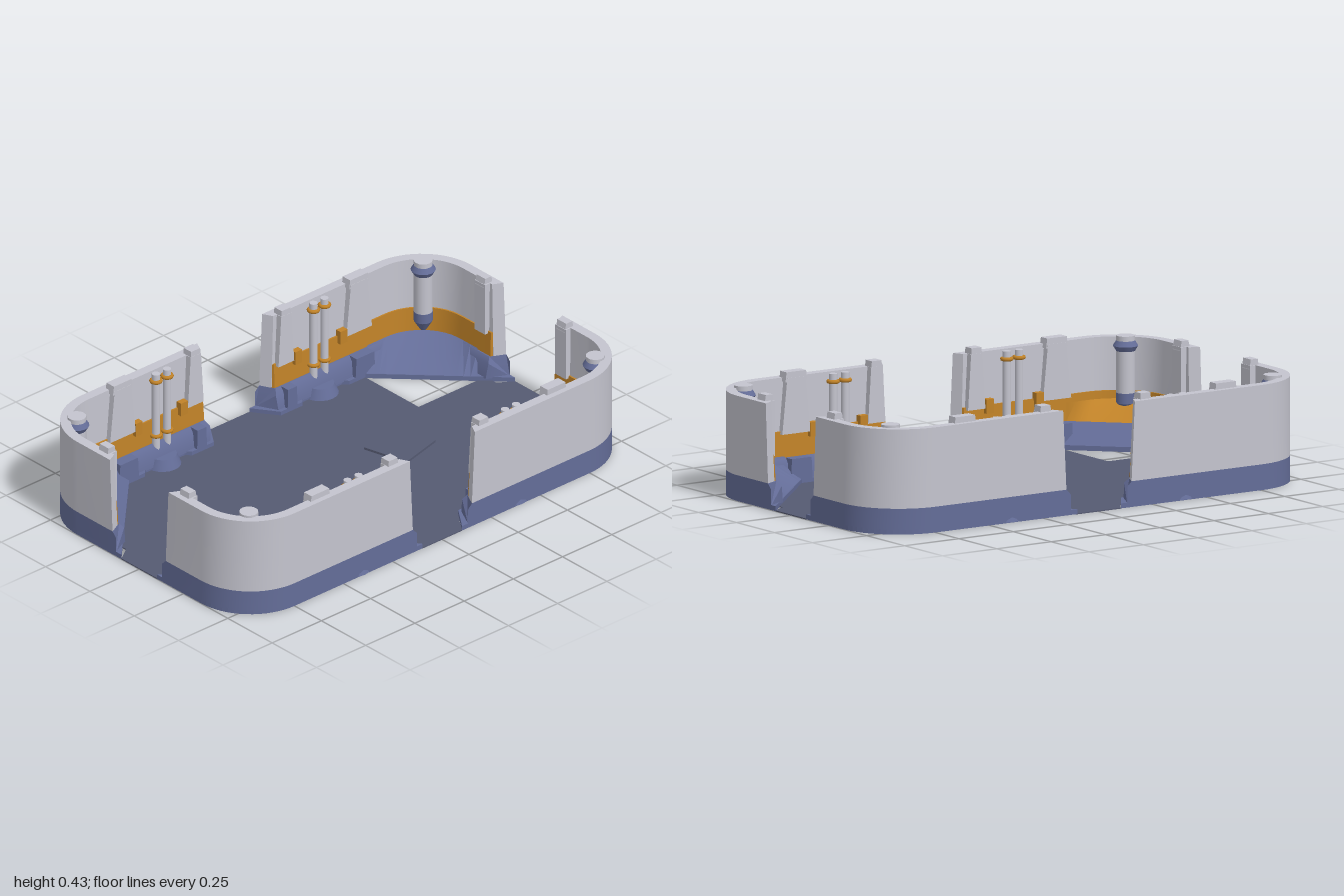
import * as THREE from 'three';
import { toCreasedNormals } from 'three/addons/utils/BufferGeometryUtils.js';

const material = (name, color, side = THREE.FrontSide) => {
  const m = new THREE.MeshStandardMaterial({ color, side });
  m.name = name;
  return m;
};

const CX = 0.75, CZ = 0.35, R = 0.25, ARC = 16;

// Plan point on the corner arc, inset by d, t from 0 (front) to 1 (side)
function arcPoint(d, t) {
  const a = Math.PI / 2 * (1 - t);
  return [CX + (R - d) * Math.cos(a), CZ + (R - d) * Math.sin(a)];
}

// Wall path of one quarter, inset by d, from the front gap to the side gap
function wallPath(d, end, flare) {
  const e = end + flare * d, path = [[e, 0.6 - d]];
  for (let i = 0; i <= ARC; i++) path.push(arcPoint(d, i / ARC));
  path.push([1 - d, e]);
  return path;
}

function fromTriangles(triangles, crease = 0.5) {
  const g = new THREE.BufferGeometry();
  g.setAttribute('position', new THREE.Float32BufferAttribute(triangles.flat(2), 3));
  return toCreasedNormals(g, crease);
}

// Sweep a closed profile of [inset, height, gapEnd] along the quarter wall
function sweep(profile, flare = 0.5) {
  const rows = profile.map(([d, y, end]) => wallPath(d, end, flare).map(([x, z]) => [x, y, z]));
  const tris = [], n = rows.length, last = rows[0].length - 1;
  for (let j = 0; j < n; j++) {
    const a = rows[j], b = rows[(j + 1) % n];
    for (let i = 0; i < last; i++) tris.push([a[i], a[i + 1], b[i]], [a[i + 1], b[i + 1], b[i]]);
  }
  for (let j = 1; j < n - 1; j++) {
    tris.push([rows[0][0], rows[j][0], rows[j + 1][0]]);
    tris.push([rows[0][last], rows[j + 1][last], rows[j][last]]);
  }
  return fromTriangles(tris);
}

// Ruled sheet between two point functions
function sheet(pa, pb) {
  const tris = [];
  for (let i = 0; i < ARC; i++) {
    const t = i / ARC, u = (i + 1) / ARC;
    tris.push([pa(t), pb(t), pa(u)], [pa(u), pb(t), pb(u)]);
  }
  return fromTriangles(tris);
}
const line = (a, b) => t => a.map((v, i) => v + (b[i] - v) * t);

// Flat plate from a plan outline in x and z
function plate(points, bottom, top) {
  const shape = new THREE.Shape(points.map(p => new THREE.Vector2(...p)));
  return new THREE.ExtrudeGeometry(shape, { depth: top - bottom, bevelEnabled: false })
    .rotateX(Math.PI / 2).translate(0, top, 0);
}

// Box standing on y0, its top narrowed by a factor
function block(w, d, y0, y1, x, z, topScale = 1) {
  const g = new THREE.BoxGeometry(w, y1 - y0, d), p = g.attributes.position;
  for (let i = 0; i < p.count; i++) if (p.getY(i) > 0) p.setX(i, p.getX(i) * topScale);
  g.translate(x, (y0 + y1) / 2, z);
  g.computeVertexNormals();
  return g;
}

function rod(rTop, rBottom, y0, y1, x, z, sides = 16) {
  return new THREE.CylinderGeometry(rTop, rBottom, y1 - y0, sides).translate(x, (y0 + y1) / 2, z);
}

// Mirror a geometry into a quadrant, keeping faces outward
function mirrored(geometry, sx, sz) {
  const g = geometry.index ? geometry.toNonIndexed() : geometry.clone();
  g.scale(sx, 1, sz);
  if (sx * sz < 0) {
    for (const attr of Object.values(g.attributes)) {
      const s = attr.itemSize, a = attr.array;
      for (let i = 0; i < attr.count; i += 3) for (let k = 0; k < s; k++) {
        const p = (i + 1) * s + k, q = (i + 2) * s + k;
        [a[p], a[q]] = [a[q], a[p]];
      }
    }
  }
  return g;
}

export function createModel() {
  const grey = material('light grey', 0xc4c4ce);
  const blue = material('slate blue', 0x646d98);
  const dark = material('floor slate', 0x555a72);
  const orange = material('orange', 0xc08228);
  const blueSheet = material('slate blue sheet', 0x646d98, THREE.DoubleSide);
  const orangeSheet = material('orange sheet', 0xc08228, THREE.DoubleSide);
  const model = new THREE.Group();
  model.name = 'openTray';

  // Floor with two opposite corners notched out
  const outline = [];
  for (const [sx, sz] of [[1, 1], [1, -1], [-1, -1], [-1, 1]]) {
    const notch = sx * sz < 0;
    const pts = [[0.1, 0.6], [0.14, 0.54]];
    if (notch) pts.push([0.6, 0.54], [0.6, 0.2], [0.94, 0.2]);
    else for (let i = 0; i <= 8; i++) pts.push(arcPoint(0.06, i / 8));
    pts.push([0.94, 0.14], [1, 0.1]);
    if (notch) pts.reverse();
    outline.push(...pts.map(([x, z]) => [x * sx, z * sz]));
  }
  const floor = new THREE.Mesh(plate(outline, 0, 0.004), dark);
  floor.name = 'floor';
  const panel = new THREE.Mesh(new THREE.BoxGeometry(0.195, 0.009, 0.195), dark);
  panel.name = 'floorPanel';
  panel.position.set(0.35, 0.0085, -0.03);
  panel.rotation.y = 0.25;
  model.add(floor, panel);

  // Parts of one quarter: [name, geometry, material]
  const footOutline = wallPath(0, 0.1, 0).concat([[0.9, 0.2], [0.6, 0.5], [0.52, 0.5],
    [0.5, 0.52], [0.3, 0.52], [0.28, 0.5], [0.17, 0.5]]);
  const parts = [
    ['foot', plate(footOutline, 0.001, 0.02), blue],
    ['base', sweep([[0, 0.015, 0.13], [0, 0.08, 0.13], [0, 0.1, 0.15], [0.06, 0.1, 0.15],
      [0.075, 0.08, 0.13], [0.085, 0.015, 0.13]]), blue],
    ['wall', sweep([[0, 0.1, 0.15], [0, 0.405, 0.165], [0.04, 0.405, 0.165], [0.045, 0.1, 0.15]]), grey],
    ['innerBand', sweep([[0.03, 0.1, 0.151], [0.03, 0.2, 0.156], [0.05, 0.2, 0.156], [0.055, 0.1, 0.151]]), orange],
  ];

  // Ribs with clips, on the long side and at the gap end
  for (const [x, w] of [[0.23, 0.05], [0.6, 0.1]]) {
    parts.push(['clip', block(w, 0.042, 0.39, 0.428, x, 0.557, 0.9), grey]);
    parts.push(['rib', block(w + 0.03, 0.03, 0.19, 0.405, x, 0.55, 0.65), grey]);
    parts.push(['ribFoot', block(w, 0.06, 0.015, 0.1, x, 0.53, 0.9), blue]);
  }
  for (const x of [0.29, 0.52]) parts.push(['latch', block(0.035, 0.03, 0.17, 0.225, x, 0.547), orange]);
  parts.push(['endClip', block(0.045, 0.05, 0.39, 0.428, 0.957, 0.228, 0.7), grey]);
  parts.push(['endRib', block(0.03, 0.06, 0.19, 0.405, 0.95, 0.228), grey]);

  // Paired pins with collars on a round seat
  parts.push(['pinSeat', rod(0.055, 0.072, 0.004, 0.045, 0.4, 0.535, 20), blue]);
  for (const x of [0.372, 0.428]) {
    parts.push(['pin', rod(0.016, 0.016, 0.04, 0.4, x, 0.54), grey]);
    for (const y of [0.135, 0.37]) parts.push(['pinCollar',
      new THREE.TorusGeometry(0.018, 0.008, 8, 16).rotateX(Math.PI / 2).translate(x, y, 0.54), orange]);
  }

  // Corner post with collar and pointed tip
  parts.push(['post', rod(0.036, 0.036, 0.19, 0.414, 0.88, 0.485), grey]);
  parts.push(['postCollar', rod(0.036, 0.048, 0.375, 0.395, 0.88, 0.485), blue]);
  parts.push(['postCollar', rod(0.048, 0.036, 0.355, 0.375, 0.88, 0.485), blue]);
  parts.push(['postTip', rod(0.037, 0.037, 0.155, 0.195, 0.88, 0.485), blue]);
  parts.push(['postTip', rod(0.037, 0.012, 0.115, 0.155, 0.88, 0.485), blue]);

  // Sloping corner skirts: orange over blue on one end, all blue on the other
  const curve = y => t => {
    if (t < 0.15) return line([0.65, y, 0.545], [CX, y, 0.545])(t / 0.15);
    if (t > 0.85) return line([0.945, y, CZ], [0.945, y, 0.25])((t - 0.85) / 0.15);
    const [x, z] = arcPoint(0.055, (t - 0.15) / 0.7);
    return [x, y, z];
  };
  const upperChord = line([0.65, 0.1, 0.545], [0.945, 0.1, 0.25]);
  const footChord = line([0.6, 0.018, 0.5], [0.9, 0.018, 0.2]);
  const orangeSkirt = [
    ['cornerSkirt', sheet(curve(0.17), upperChord), orangeSheet],
    ['cornerApron', sheet(upperChord, footChord), blueSheet],
  ];
  const blueSkirt = [['cornerSkirt', sheet(curve(0.105), footChord), blueSheet]];

  // Four mirrored quarters
  for (const sx of [1, -1]) for (const sz of [1, -1]) {
    const quarter = new THREE.Group();
    quarter.name = (sz > 0 ? 'front' : 'back') + (sx > 0 ? 'Left' : 'Right') + 'Corner';
    for (const [name, geometry, mat] of parts.concat(sx > 0 ? blueSkirt : orangeSkirt)) {
      const mesh = new THREE.Mesh(mirrored(geometry, sx, sz), mat);
      mesh.name = name;
      quarter.add(mesh);
    }
    model.add(quarter);
  }
  return model;
}
